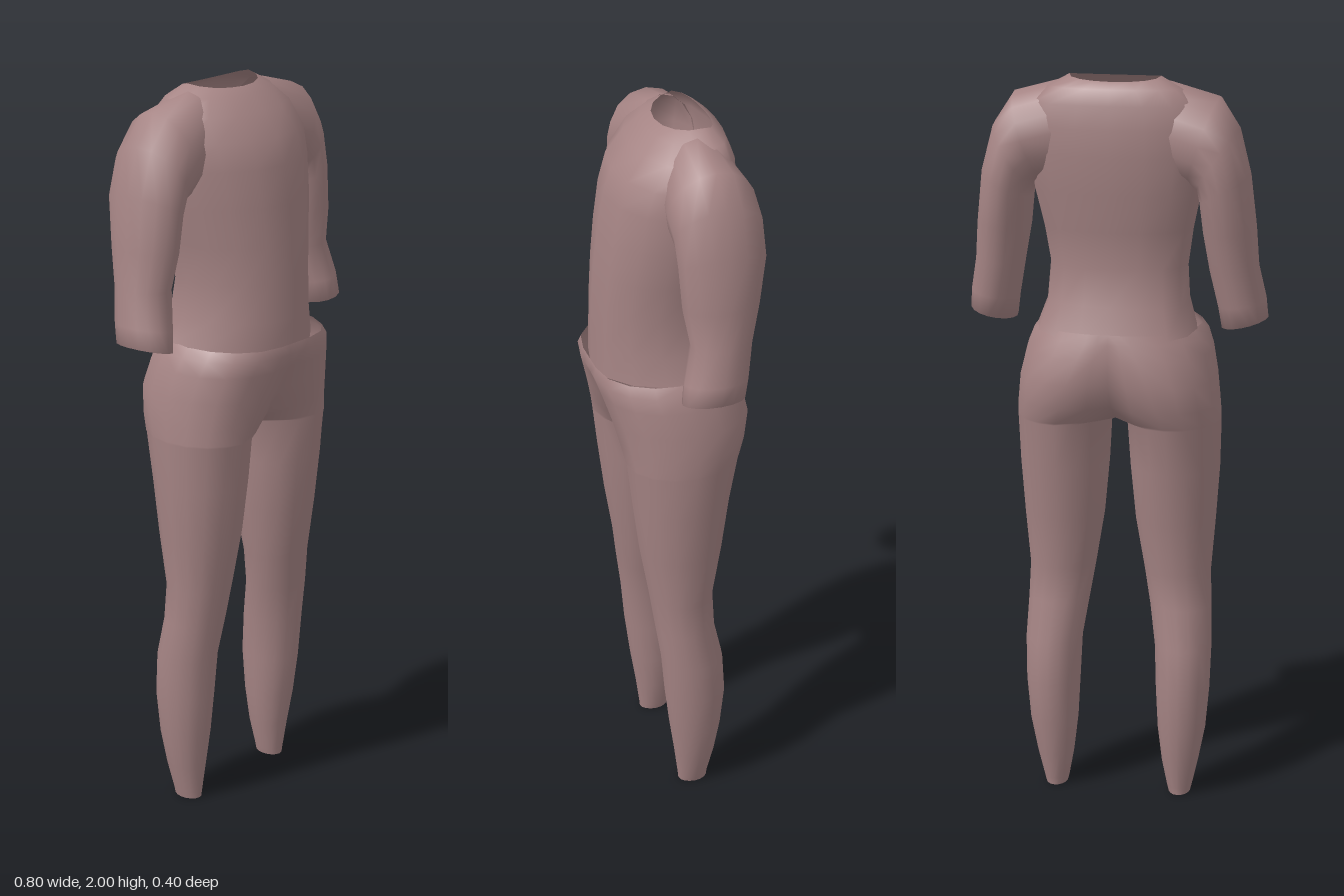
import * as THREE from 'three';
import { mergeVertices, mergeGeometries } from 'three/addons/utils/BufferGeometryUtils.js';

const SEG = 16;
const cloth = new THREE.MeshStandardMaterial({ color: 0xa58484, side: THREE.DoubleSide });

// Calls fn(cos, sin) once per corner of a ring
const ring = (fn) => Array.from({ length: SEG }, (_, j) => {
  const a = (j / SEG) * Math.PI * 2;
  return fn(Math.cos(a), Math.sin(a));
});

// Skins a stack of rings listed from bottom to top; mirror = -1 flips it across x
function loft(rings, mirror = 1) {
  const pos = rings.flatMap((r) => r.flatMap(([x, y, z]) => [x * mirror, y, z]));
  const index = [];
  for (let i = 0; i < rings.length - 1; i++) {
    for (let j = 0; j < SEG; j++) {
      const k = (j + 1) % SEG;
      const corners = [rings[i][j], rings[i + 1][j], rings[i + 1][k], rings[i][k]];
      if (corners.every((p) => p[0] === 0)) continue; // no wall on the middle plane
      const [a, b, c, d] = [i * SEG + j, (i + 1) * SEG + j, (i + 1) * SEG + k, i * SEG + k];
      if (mirror > 0) index.push(a, b, d, b, c, d);
      else index.push(a, d, b, b, d, c);
    }
  }
  const g = new THREE.BufferGeometry();
  g.setAttribute('position', new THREE.Float32BufferAttribute(pos, 3));
  g.setIndex(index);
  return g;
}

function clothMesh(name, geometry) {
  const g = mergeVertices(geometry, 1e-4);
  g.computeVertexNormals();
  const mesh = new THREE.Mesh(g, cloth);
  mesh.name = name;
  return mesh;
}

// Oval leg section: height, inner x, outer x, front z, back z
const legRing = ([y, xi, xo, zf, zb]) => ring((c, s) =>
  [(xi + xo) / 2 + ((xo - xi) / 2) * c, y, (zf + zb) / 2 + ((zf - zb) / 2) * s]);

// Half hip section closed on x = 0: height, fullest x, outer x, front z, back z, depth at the seam
const hipRing = ([y, cx, xo, zf, zb, seam]) => ring((c, s) => {
  const zc = (zf + zb) / 2, rz = (zf - zb) / 2;
  if (c >= 0) return [cx + (xo - cx) * Math.pow(c, 0.93), y, zc + rz * s];
  const t = -c / Math.SQRT1_2;
  if (t < 0.999) return [cx * (1 - t), y, zc + rz * Math.sign(s) * (1 - (1 - seam) * t * t)];
  return [0, y, zc + (rz * seam * s) / Math.SQRT1_2];
});

// Torso section: height, half width, front z, back z, dip at front and back
const torsoRing = ([y, w, zf, zb, dip = 0]) => ring((c, s) => {
  const zc = zf * 0.35 + zb * 0.65;
  const z = s > 0 ? zc + (zf - zc) * s : zc - (zc - zb) * Math.pow(-s, 0.75);
  return [w * c, y - dip * Math.abs(s), z];
});

// Sleeve section: inner x, y, outer x, y, front z, back z
const sleeveRing = ([xi, yi, xo, yo, zf, zb]) => ring((c, s) => {
  const t = (1 + c) / 2;
  return [xi + (xo - xi) * t, yi + (yo - yi) * t, (zf + zb) / 2 + ((zf - zb) / 2) * s];
});

export function createModel() {
  const model = new THREE.Group();
  model.name = 'outfit';

  // Trousers: two legs that join at the middle seam
  const legs = [
    [0, 0.145, 0.205, 0.003, -0.08],
    [0.02, 0.14, 0.21, 0.005, -0.082],
    [0.1, 0.125, 0.228, 0.015, -0.1],
    [0.2, 0.113, 0.247, 0.03, -0.115],
    [0.32, 0.107, 0.257, 0.045, -0.126],
    [0.44, 0.102, 0.26, 0.055, -0.118],
    [0.55, 0.085, 0.256, 0.07, -0.095],
    [0.65, 0.068, 0.252, 0.083, -0.092],
    [0.8, 0.043, 0.264, 0.108, -0.118],
    [0.95, 0.029, 0.274, 0.127, -0.138],
    [1.08, 0.022, 0.277, 0.142, -0.163],
  ];
  const hips = [
    [1.085, 0.145, 0.277, 0.143, -0.165, 0.4],
    [1.13, 0.13, 0.274, 0.152, -0.183, 0.72],
    [1.2, 0.11, 0.267, 0.168, -0.199, 0.88],
    [1.27, 0.08, 0.253, 0.188, -0.188, 0.96],
    [1.31, 0.06, 0.238, 0.2, -0.178, 1],
    [1.335, 0.055, 0.218, 0.194, -0.17, 1],
  ];
  const half = [...legs.map(legRing), ...hips.map(hipRing)];
  model.add(clothMesh('trousers', mergeGeometries([loft(half), loft(half, -1)])));

  // Shirt body, open at the neck and hem
  const torso = [
    [1.335, 0.215, 0.19, -0.175, 0.022],
    [1.4, 0.192, 0.19, -0.148],
    [1.5, 0.185, 0.187, -0.13],
    [1.6, 0.2, 0.18, -0.145],
    [1.7, 0.222, 0.168, -0.16],
    [1.8, 0.235, 0.152, -0.17],
    [1.87, 0.24, 0.13, -0.167],
    [1.93, 0.225, 0.082, -0.16],
    [1.97, 0.175, 0.042, -0.145],
    [2, 0.12, 0.015, -0.12, 0.013],
  ];
  model.add(clothMesh('shirtBody', loft(torso.map(torsoRing))));

  // Sleeves, from the turned-in cuff up to the shoulder
  const sleeve = [
    [0.3, 1.42, 0.365, 1.43, 0.02, -0.08],
    [0.3, 1.35, 0.378, 1.37, 0.033, -0.085],
    [0.277, 1.342, 0.4, 1.37, 0.055, -0.11],
    [0.268, 1.4, 0.396, 1.42, 0.048, -0.12],
    [0.247, 1.5, 0.378, 1.51, 0.025, -0.135],
    [0.23, 1.6, 0.37, 1.61, 0.043, -0.158],
    [0.222, 1.68, 0.353, 1.75, 0.05, -0.179],
    [0.215, 1.71, 0.322, 1.87, 0.055, -0.176],
    [0.19, 1.72, 0.27, 1.95, 0.06, -0.168],
    [0.11, 1.74, 0.14, 1.985, 0.04, -0.14],
  ].map(sleeveRing);
  model.add(clothMesh('leftSleeve', loft(sleeve)));
  model.add(clothMesh('rightSleeve', loft(sleeve, -1)));

  return model;
}
